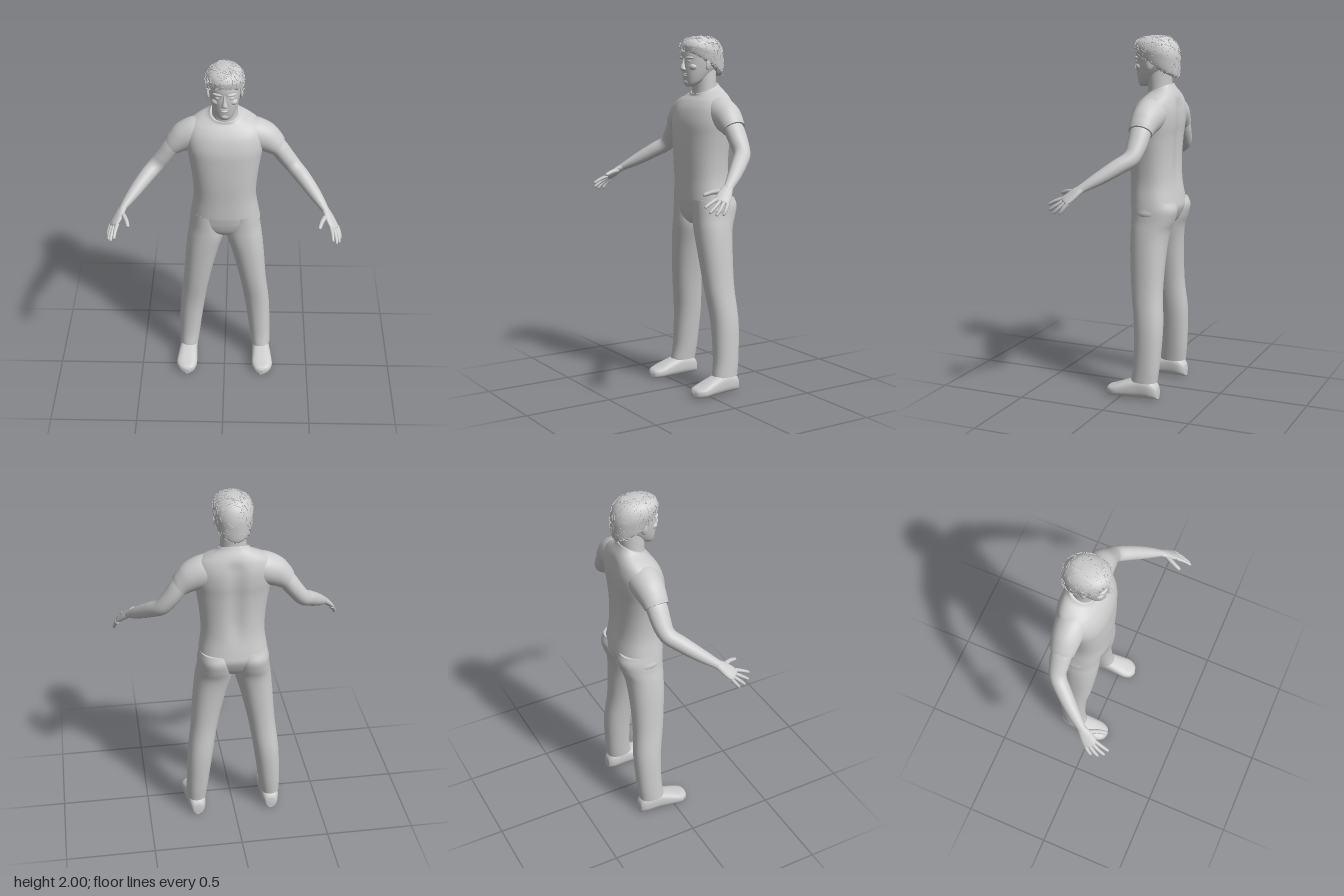
import * as THREE from 'three';
import { mergeGeometries } from 'three/addons/utils/BufferGeometryUtils.js';

const V = (x, y, z) => new THREE.Vector3(x, y, z);

// Smooth skin through oval sections {c: centre, u, v: half axes}; p < 1 makes the ovals squarer
function loft(sections, { seg = 32, steps = 5, p = 1 } = {}) {
  const curve = k => new THREE.CatmullRomCurve3(sections.map(s => s[k]), false, 'catmullrom', 0.5);
  const [C, U, W] = ['c', 'u', 'v'].map(curve);
  const rows = (sections.length - 1) * steps;
  const pos = [], idx = [];
  const pow = a => Math.sign(a) * Math.abs(a) ** p;
  for (let i = 0; i <= rows; i++) {
    const c = C.getPoint(i / rows), u = U.getPoint(i / rows), v = W.getPoint(i / rows);
    for (let j = 0; j < seg; j++) {
      const a = (j / seg) * Math.PI * 2;
      const q = c.clone().addScaledVector(u, pow(Math.cos(a))).addScaledVector(v, pow(Math.sin(a)));
      pos.push(q.x, q.y, q.z);
    }
  }
  const s0 = sections[0], along = sections[1].c.clone().sub(s0.c);
  const flip = s0.u.clone().cross(s0.v).dot(along) < 0;
  const tri = (a, b, c) => (flip ? idx.push(a, c, b) : idx.push(a, b, c));
  for (let i = 0; i < rows; i++) for (let j = 0; j < seg; j++) {
    const k = (j + 1) % seg, a = i * seg + j, b = i * seg + k;
    tri(a, b, b + seg);
    tri(a, b + seg, a + seg);
  }
  // Flat end caps with their own vertices so hems stay crisp
  for (const [row, end] of [[0, 0], [rows, 1]]) {
    const base = pos.length / 3, c = C.getPoint(end);
    for (let j = 0; j < seg * 3; j++) pos.push(pos[row * seg * 3 + j]);
    pos.push(c.x, c.y, c.z);
    for (let j = 0; j < seg; j++) {
      const a = base + j, b = base + (j + 1) % seg;
      end ? tri(a, b, base + seg) : tri(b, a, base + seg);
    }
  }
  const g = new THREE.BufferGeometry();
  g.setAttribute('position', new THREE.Float32BufferAttribute(pos, 3));
  g.setIndex(idx);
  g.computeVertexNormals();
  return g;
}

// Upright body part, rows of [x, y, z, halfWidth, halfDepth, rise of the front edge]
const column = (rows, opt) => loft(rows.map(([x, y, z, rx, rz, tilt = 0]) =>
  ({ c: V(x, y, z), u: V(rx, 0, 0), v: V(0, tilt, rz) })), opt);

// Limb along a path, rows of [x, y, z, radius across, radius along ref]
function limb(rows, opt, ref = V(0, 0, 1)) {
  const pts = rows.map(r => V(r[0], r[1], r[2]));
  return loft(rows.map((r, i) => {
    const t = pts[Math.min(i + 1, pts.length - 1)].clone().sub(pts[Math.max(i - 1, 0)]).normalize();
    const u = t.clone().cross(ref).normalize();
    return { c: pts[i], u: u.clone().multiplyScalar(r[3]), v: t.cross(u).multiplyScalar(r[4]) };
  }), opt);
}

const mirrorX = (rows, s) => rows.map(([x, ...rest]) => [x * s, ...rest]);

export function createModel() {
  const model = new THREE.Group();
  const grey = new THREE.MeshStandardMaterial({ color: 0xcccccc });
  grey.name = 'grey';
  const add = (name, geometry) => {
    const m = new THREE.Mesh(geometry, grey);
    m.name = name;
    model.add(m);
    return m;
  };
  const blob = (name, x, y, z, rx, ry, rz) => {
    const m = add(name, new THREE.SphereGeometry(1, 20, 14));
    m.position.set(x, y, z);
    m.scale.set(rx, ry, rz);
    return m;
  };

  // Shirt body, with a shallow groove down the spine
  const shirt = column([
    [0, 1.09, -0.12, 0.19, 0.138], [0, 1.2, -0.11, 0.175, 0.13], [0, 1.32, -0.105, 0.181, 0.13],
    [0, 1.44, -0.108, 0.198, 0.132], [0, 1.52, -0.115, 0.212, 0.134], [0, 1.59, -0.126, 0.212, 0.124],
    [0, 1.64, -0.135, 0.19, 0.105, -0.005], [0, 1.672, -0.14, 0.145, 0.086, -0.012],
    [0, 1.692, -0.134, 0.098, 0.076, -0.024], [0, 1.706, -0.13, 0.08, 0.071, -0.03],
  ], { seg: 64, p: 0.85 });
  const sp = shirt.attributes.position;
  for (let i = 0; i < sp.count; i++) {
    const x = sp.getX(i), y = sp.getY(i), z = sp.getZ(i);
    const fade = THREE.MathUtils.smoothstep(y, 1.12, 1.3) * (1 - THREE.MathUtils.smoothstep(y, 1.6, 1.68));
    if (z < -0.15) sp.setZ(i, z + 0.015 * fade * Math.exp(-((x / 0.04) ** 2)));
  }
  shirt.computeVertexNormals();
  add('shirt', shirt);

  // Trouser seat
  add('trouserSeat', column([
    [0, 0.945, -0.115, 0.06, 0.07], [0, 0.975, -0.12, 0.15, 0.1], [0, 1.02, -0.125, 0.198, 0.12],
    [0, 1.06, -0.128, 0.194, 0.13], [0, 1.1, -0.123, 0.184, 0.13],
  ], { seg: 48, p: 0.85 }));

  // Neck and head
  add('neck', column([
    [0, 1.64, -0.13, 0.078, 0.068], [0, 1.7, -0.128, 0.071, 0.066],
    [0, 1.76, -0.125, 0.068, 0.07], [0, 1.82, -0.12, 0.066, 0.08],
  ]));
  add('head', column([
    [0, 1.716, -0.038, 0.015, 0.015], [0, 1.722, -0.042, 0.032, 0.03, -0.004],
    [0, 1.745, -0.063, 0.053, 0.058, -0.012], [0, 1.78, -0.078, 0.068, 0.08, -0.008],
    [0, 1.82, -0.093, 0.079, 0.1], [0, 1.86, -0.103, 0.086, 0.11], [0, 1.9, -0.108, 0.088, 0.116],
    [0, 1.94, -0.11, 0.084, 0.108], [0, 1.975, -0.108, 0.055, 0.07], [0, 1.985, -0.108, 0.01, 0.01],
  ], { p: 0.92 }));

  // Face
  add('nose', column([
    [0, 1.802, 0.002, 0.008, 0.008], [0, 1.81, 0.008, 0.018, 0.016], [0, 1.82, 0.01, 0.014, 0.018],
    [0, 1.845, 0.005, 0.008, 0.014], [0, 1.872, 0, 0.007, 0.01],
  ], { seg: 16 }));
  blob('upperLip', 0, 1.787, -0.001, 0.024, 0.0055, 0.01);
  blob('lowerLip', 0, 1.776, -0.002, 0.02, 0.0065, 0.01);
  blob('chin', 0, 1.741, -0.016, 0.024, 0.018, 0.018);
  for (const s of [1, -1]) {
    blob('brow', s * 0.036, 1.875, -0.006, 0.028, 0.008, 0.014).rotation.set(0, s * 0.35, 0);
    blob('eye', s * 0.034, 1.855, -0.008, 0.015, 0.007, 0.012);
    blob('cheek', s * 0.043, 1.825, -0.026, 0.026, 0.02, 0.024);
    blob('ear', s * 0.086, 1.84, -0.1, 0.01, 0.034, 0.02).rotation.set(-0.2, s * 0.35, 0);
  }

  // Hair, swept lower at the nape, covered in short loose strands
  const hair = column([
    [0, 1.838, -0.112, 0.086, 0.115, 0.07], [0, 1.85, -0.112, 0.096, 0.124, 0.066],
    [0, 1.885, -0.112, 0.102, 0.127, 0.05], [0, 1.92, -0.112, 0.104, 0.126, 0.028],
    [0, 1.957, -0.11, 0.091, 0.11, 0.012], [0, 1.984, -0.107, 0.06, 0.074],
    [0, 1.993, -0.107, 0.025, 0.03], [0, 1.995, -0.107, 0.004, 0.004],
  ], { seg: 48, p: 0.95 });
  add('hair', hair);
  let seed = 7;
  const rand = () => (seed = (seed * 16807) % 2147483647) / 2147483647;
  const hp = hair.attributes.position, hn = hair.attributes.normal, strands = [];
  for (let i = 0; i < 260; i++) {
    const k = 48 * 2 + Math.floor(rand() * 48 * 27);
    const at = V().fromBufferAttribute(hp, k), n = V().fromBufferAttribute(hn, k);
    const dir = V(rand() - 0.5, rand() - 0.9, rand() - 0.5).projectOnPlane(n).normalize();
    const basis = new THREE.Matrix4().makeBasis(n.clone().cross(dir), n, dir);
    strands.push(new THREE.BoxGeometry(0.003, 0.004, 0.018 + 0.02 * rand()).applyMatrix4(basis.setPosition(at)));
  }
  add('hairStrands', mergeGeometries(strands));

  for (const s of [1, -1]) {
    const side = s > 0 ? 'left' : 'right';

    // Sleeve and arm
    add(side + 'Sleeve', limb(mirrorX([
      [0.1, 1.585, -0.135, 0.085, 0.09], [0.165, 1.57, -0.135, 0.09, 0.088],
      [0.225, 1.545, -0.134, 0.082, 0.08], [0.265, 1.515, -0.132, 0.067, 0.072],
      [0.287, 1.494, -0.132, 0.057, 0.067],
    ], s)));
    add(side + 'Arm', limb(mirrorX([
      [0.24, 1.535, -0.132, 0.048, 0.056], [0.29, 1.487, -0.132, 0.05, 0.058],
      [0.34, 1.42, -0.13, 0.047, 0.053], [0.385, 1.365, -0.117, 0.044, 0.046],
      [0.435, 1.325, -0.065, 0.042, 0.043], [0.5, 1.268, 0.015, 0.034, 0.036],
      [0.548, 1.225, 0.08, 0.021, 0.026], [0.562, 1.21, 0.1, 0.018, 0.025],
    ], s)));

    // Palm, fingers and thumb
    const row = V(-0.6 * s, 0.3, 0.73), flat = V(0.6 * s, 0.75, 0.25);
    add(side + 'Palm', loft([
      [0.548, 1.225, 0.08, 0.022, 0.018], [0.565, 1.206, 0.107, 0.032, 0.018],
      [0.585, 1.178, 0.137, 0.039, 0.016], [0.602, 1.157, 0.161, 0.038, 0.012],
      [0.606, 1.151, 0.168, 0.03, 0.006],
    ].map(([x, y, z, a, b]) => ({
      c: V(x * s, y, z), u: row.clone().multiplyScalar(a), v: flat.clone().multiplyScalar(b),
    })), { seg: 20 }));
    const fingers = {
      IndexFinger: [[0.58, 1.168, 0.177], [0.588, 1.152, 0.22], [0.592, 1.13, 0.262]],
      MiddleFinger: [[0.594, 1.16, 0.166], [0.608, 1.132, 0.208], [0.614, 1.104, 0.247]],
      RingFinger: [[0.607, 1.152, 0.153], [0.623, 1.12, 0.187], [0.63, 1.09, 0.216]],
      LittleFinger: [[0.618, 1.147, 0.137], [0.632, 1.115, 0.16], [0.637, 1.09, 0.178]],
      Thumb: [[0.56, 1.203, 0.115], [0.533, 1.198, 0.17], [0.516, 1.183, 0.222]],
    };
    for (const [name, [a, b, c]] of Object.entries(fingers)) {
      const r = name === 'Thumb' ? 0.0125 : 0.0098;
      const near = c.map((q, i) => q + (b[i] - q) * 0.15);
      add(side + name, limb(mirrorX([
        [...a, r * 1.15, r * 1.15], [...b, r, r], [...near, r * 0.75, r * 0.75], [...c, 0.001, 0.001],
      ], s), { seg: 12, steps: 4 }, V(s, 0, 0)));
    }

    // Trouser leg
    add(side + 'TrouserLeg', column(mirrorX([
      [0.219, 0.095, -0.127, 0.057, 0.076], [0.211, 0.2, -0.139, 0.063, 0.075],
      [0.193, 0.4, -0.142, 0.072, 0.081], [0.165, 0.6, -0.122, 0.077, 0.088],
      [0.134, 0.8, -0.115, 0.092, 0.1], [0.11, 0.92, -0.118, 0.103, 0.11],
      [0.102, 0.99, -0.13, 0.1, 0.123], [0.1, 1.05, -0.136, 0.096, 0.131], [0.098, 1.095, -0.128, 0.09, 0.125],
    ], s).map(([x, y, z, rx, rz]) => [x, y, z, Math.abs(rx), rz]), { p: 0.92 }));

    // Shoe, rows of [x, z, halfWidth, height]
    add(side + 'Shoe', loft([
      [0.218, -0.213, 0.015, 0.04], [0.218, -0.205, 0.034, 0.075], [0.218, -0.17, 0.049, 0.105],
      [0.221, -0.1, 0.052, 0.112], [0.226, -0.02, 0.059, 0.088], [0.229, 0.04, 0.061, 0.064],
      [0.227, 0.08, 0.042, 0.05], [0.225, 0.095, 0.012, 0.032],
    ].map(([x, z, w, h]) => ({ c: V(x * s, h / 2, z), u: V(w, 0, 0), v: V(0, h / 2, 0) })), { p: 0.72 }));
  }
  return model;
}
